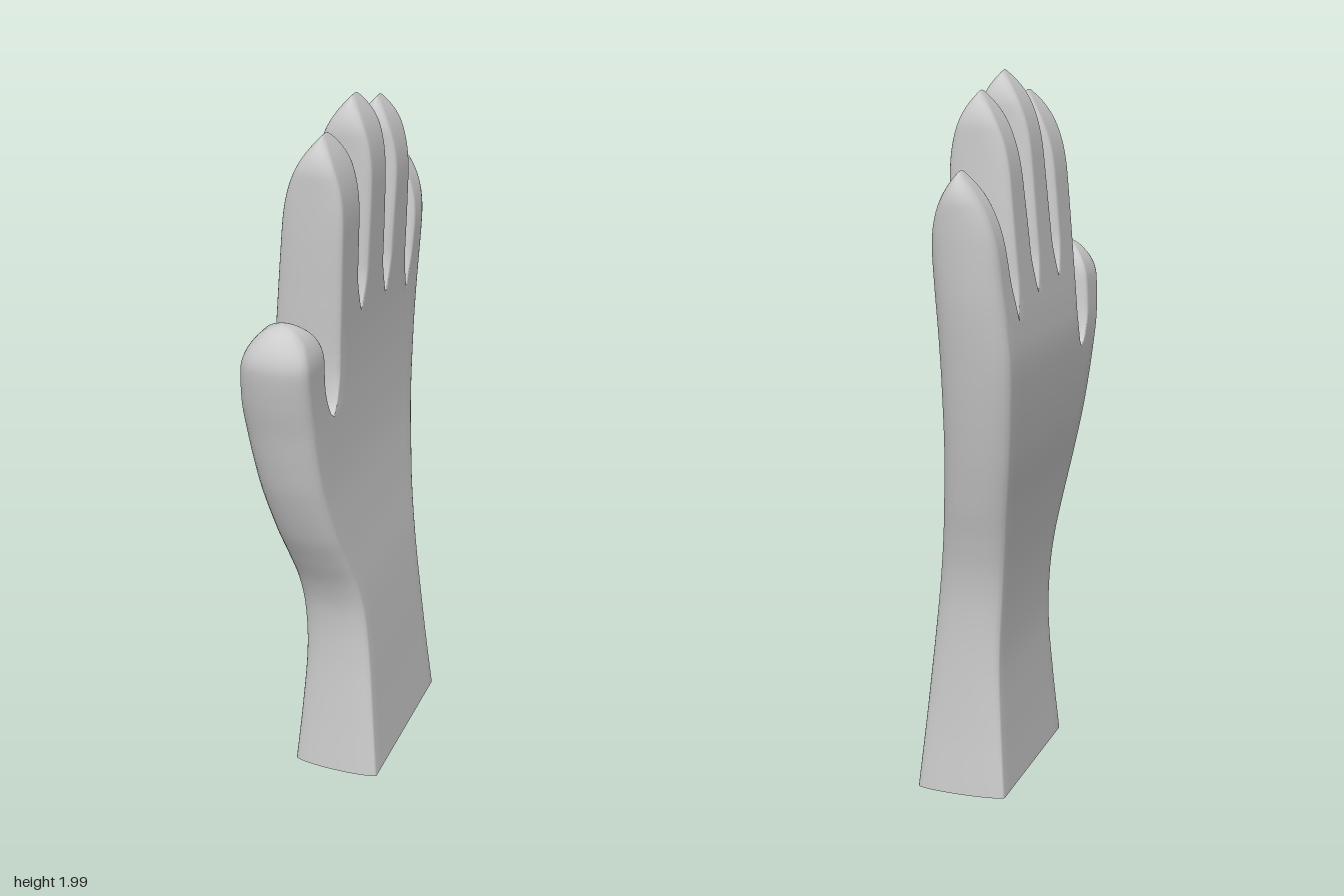
import * as THREE from 'three';

// Smooth function through [y, value] points
function curve(pts) {
  const slope = i => {
    const a = pts[Math.max(i - 1, 0)], b = pts[Math.min(i + 1, pts.length - 1)];
    return (b[1] - a[1]) / (b[0] - a[0]);
  };
  return y => {
    let i = 0;
    while (i < pts.length - 2 && y > pts[i + 1][0]) i++;
    const [y0, v0] = pts[i], [y1, v1] = pts[i + 1], h = y1 - y0;
    const t = THREE.MathUtils.clamp((y - y0) / h, 0, 1), t2 = t * t, t3 = t2 * t;
    return v0 * (2 * t3 - 3 * t2 + 1) + h * slope(i) * (t3 - 2 * t2 + t)
      + v1 * (3 * t2 - 2 * t3) + h * slope(i + 1) * (t3 - t2);
  };
}

// Side edge: z position by height, and depth of its rounding, which grows from the start height
const edge = (round, ramp, pts) => ({
  z: curve(pts),
  d: y => round[0] + (round[1] - round[0]) * THREE.MathUtils.smoothstep(y, pts[0][0], pts[0][0] + ramp),
});
const between = (pts) => edge([0, 0.022], 0.12, pts);

// Palm (+x) and back (-x) surfaces by height
const palmX = curve([[0, 0.152], [0.2, 0.133], [0.4, 0.115], [0.6, 0.095], [0.8, 0.07], [1, 0.05],
  [1.2, 0.042], [1.35, 0.042], [1.5, 0.047], [1.7, 0.055], [1.85, 0.06], [2, 0.07]]);
const backX = curve([[0, -0.108], [0.2, -0.092], [0.4, -0.082], [0.6, -0.09], [0.8, -0.11], [1, -0.135],
  [1.2, -0.152], [1.3, -0.153], [1.5, -0.135], [1.7, -0.115], [1.85, -0.1], [2, -0.09]]);

// Silhouette edges, from thumb side to little finger side
const E = {
  thumbOut: edge([0.02, 0.045], 1, [[0.01, 0.232], [0.2, 0.215], [0.4, 0.203], [0.55, 0.21], [0.65, 0.238],
    [0.75, 0.287], [0.85, 0.337], [1, 0.393], [1.1, 0.42], [1.2, 0.443], [1.3, 0.468], [1.4, 0.485], [1.5, 0.483]]),
  thumbIn: between([[1.2, 0.262], [1.215, 0.283], [1.25, 0.297], [1.3, 0.304], [1.4, 0.314], [1.5, 0.318]]),
  indexOut: between([[1.2, 0.262], [1.215, 0.247], [1.25, 0.237], [1.35, 0.234], [1.5, 0.241], [1.7, 0.25], [1.95, 0.254]]),
  indexIn: between([[1.43, 0.063], [1.45, 0.073], [1.5, 0.08], [1.6, 0.085], [1.8, 0.093], [1.95, 0.1]]),
  middleL: between([[1.43, 0.063], [1.45, 0.054], [1.5, 0.048], [1.6, 0.045], [1.8, 0.044], [2, 0.048]]),
  middleR: between([[1.41, -0.132], [1.43, -0.124], [1.5, -0.118], [1.6, -0.115], [1.8, -0.105], [2, -0.1]]),
  ringL: between([[1.41, -0.132], [1.43, -0.141], [1.5, -0.148], [1.6, -0.152], [1.8, -0.161], [1.95, -0.157]]),
  ringR: between([[1.36, -0.314], [1.38, -0.309], [1.45, -0.309], [1.6, -0.307], [1.8, -0.298], [1.95, -0.292]]),
  littleL: between([[1.36, -0.314], [1.38, -0.32], [1.45, -0.33], [1.55, -0.346], [1.65, -0.356], [1.76, -0.36]]),
  littleR: edge([0.02, 0.045], 1, [[0.01, -0.332], [0.2, -0.316], [0.4, -0.306], [0.55, -0.306], [0.65, -0.315],
    [0.75, -0.335], [0.85, -0.36], [1, -0.394], [1.2, -0.432], [1.4, -0.462], [1.55, -0.475], [1.65, -0.48], [1.76, -0.481]]),
};

const FACE = 12, SIDE = 12;

// One closed cross-section: flat palm and back faces joined by rounded sides
function section(y, right, left, tip) {
  let zl = left.z(y), zr = right.z(y);
  const xc = (palmX(y) + backX(y)) / 2;
  let h = (palmX(y) - backX(y)) / 2;
  if (tip) {
    const u = Math.max(tip.y - y, 0);
    const w = u < tip.r ? Math.sqrt(Math.max(1 - (1 - u / tip.r) ** 2, 0)) : 1;
    zl = tip.z + (zl - tip.z) * w;
    zr = tip.z + (zr - tip.z) * w;
    if (u < tip.wedge) h *= (1 - (1 - u / tip.wedge) ** tip.power) ** (tip.blunt ?? 1);
  }
  const dl = Math.min(left.d(y), (zl - zr) * 0.35), dr = Math.min(right.d(y), (zl - zr) * 0.35);
  const a = zr + dr, b = zl - dl, pts = [];
  for (let i = 0; i < FACE; i++) pts.push([xc + h, a + (b - a) * i / FACE]);
  for (let i = 0; i < SIDE; i++) {
    const t = Math.PI * i / SIDE;
    pts.push([xc + h * Math.cos(t), b + dl * Math.sin(t)]);
  }
  for (let i = 0; i < FACE; i++) pts.push([xc - h, b + (a - b) * i / FACE]);
  for (let i = 0; i < SIDE; i++) {
    const t = Math.PI * i / SIDE;
    pts.push([xc - h * Math.cos(t), a - dr * Math.sin(t)]);
  }
  return pts;
}

// Skin stacked sections between two heights; fingers get extra rows at the tip
function skin(y0, y1, right, left, tip) {
  const ys = [], top = tip ? tip.y - tip.r : y1;
  const n = Math.max(3, Math.ceil((top - y0) / 0.015));
  for (let i = 0; i <= n; i++) ys.push(y0 + (top - y0) * i / n);
  if (tip) for (let i = 1; i <= 16; i++) ys.push(top + tip.r * Math.sin(Math.PI / 2 * i / 16));
  const pos = [], idx = [], m = 2 * (FACE + SIDE);
  ys.forEach((y, r) => {
    for (const [x, z] of section(y, right, left, tip)) pos.push(x, y, z);
    if (r === 0) return;
    for (let j = 0; j < m; j++) {
      const k = (j + 1) % m, a = (r - 1) * m + j, b = (r - 1) * m + k, c = r * m + j, d = r * m + k;
      idx.push(a, c, b, b, c, d);
    }
  });
  const g = new THREE.BufferGeometry();
  g.setAttribute('position', new THREE.Float32BufferAttribute(pos, 3));
  g.setIndex(idx);
  g.computeVertexNormals();
  return g;
}

export function createModel() {
  const group = new THREE.Group();
  group.name = 'glove';
  const material = new THREE.MeshStandardMaterial({ color: 0xcccccc, side: THREE.DoubleSide });
  const add = (name, ...args) => {
    const mesh = new THREE.Mesh(skin(...args), material);
    mesh.name = name;
    group.add(mesh);
  };
  const tip = (y, z, r) => ({ y, z, r, wedge: 0.25, power: 2.8 });

  // Open cuff and palm, then the hand narrowing as each finger branches off
  add('cuffAndPalm', 0.01, 1.2, E.littleR, E.thumbOut);
  add('knuckles', 1.2, 1.36, E.littleR, E.indexOut);
  add('threeFingerBase', 1.36, 1.41, E.ringR, E.indexOut);
  add('twoFingerBase', 1.41, 1.43, E.middleR, E.indexOut);

  // Fingers with wedge-shaped tips, and a blunter thumb
  add('thumb', 1.2, 1.505, E.thumbIn, E.thumbOut,
    { y: 1.505, z: 0.4, r: 0.11, wedge: 0.12, power: 2, blunt: 0.5 });
  add('indexFinger', 1.43, 1.945, E.indexIn, E.indexOut, tip(1.945, 0.177, 0.1));
  add('middleFinger', 1.43, 2, E.middleR, E.middleL, tip(2, -0.026, 0.1));
  add('ringFinger', 1.41, 1.95, E.ringR, E.ringL, tip(1.95, -0.222, 0.1));
  add('littleFinger', 1.36, 1.755, E.littleR, E.littleL, tip(1.755, -0.415, 0.09));
  return group;
}
